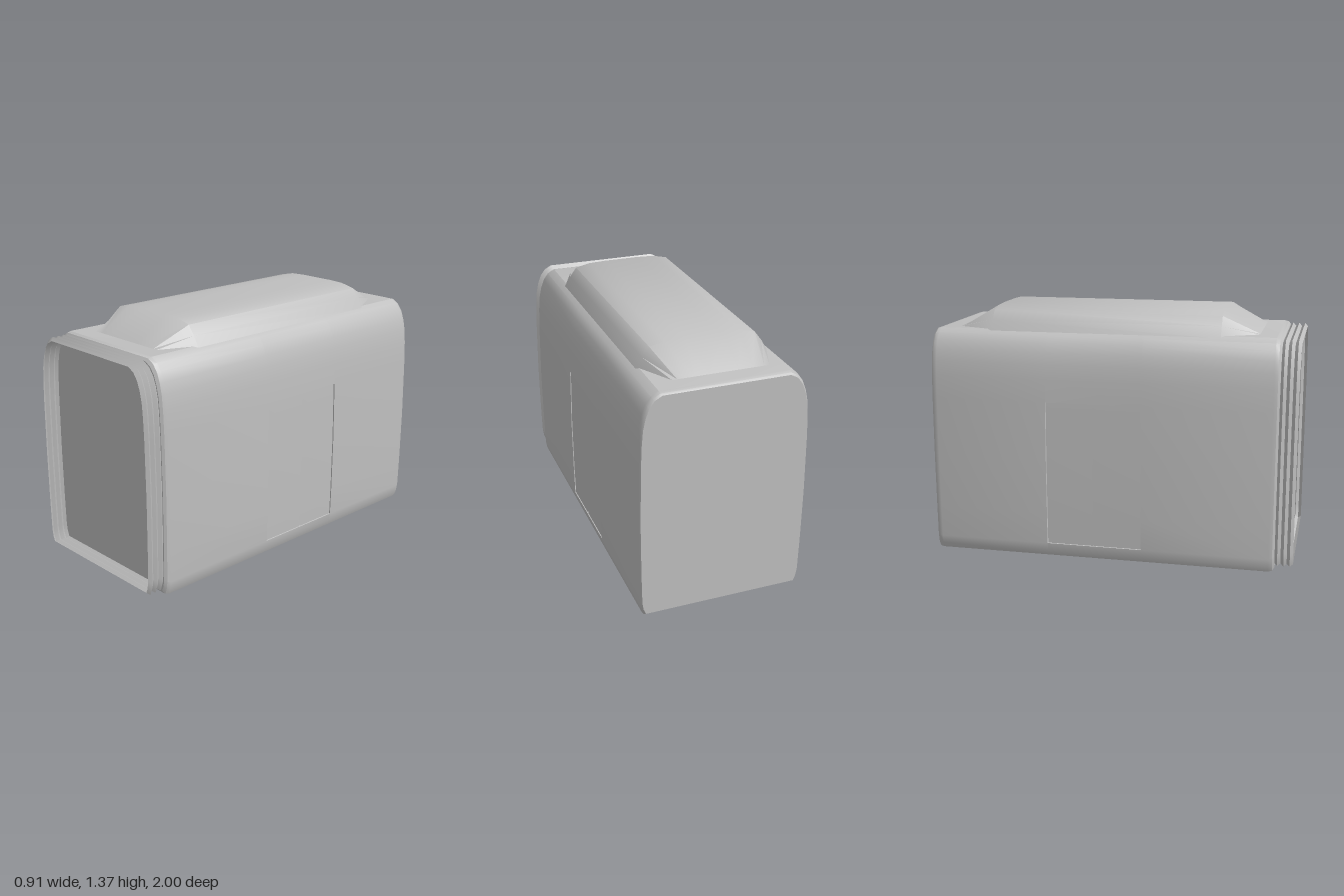
import * as THREE from 'three';
import { toCreasedNormals } from 'three/addons/utils/BufferGeometryUtils.js';

// Right half of the body cross-section, from the floor to the roof: [x, y]
const HALF = [
  [0.43, 0], [0.442, 0.03], [0.449, 0.074], [0.449, 0.076], [0.453, 0.25], [0.456, 0.55],
  [0.452, 0.873], [0.452, 0.875], [0.447, 1.0], [0.44, 1.08], [0.427, 1.14], [0.408, 1.19],
  [0.38, 1.228], [0.34, 1.25],
];
const HEIGHT = 1.25;
const DOOR = { bottom: 0.075, top: 0.874, front: 0.175, middle: -0.09, back: -0.35 };

const mirrorHalf = (half) => [...half, ...half.map(([x, y]) => [-x, y]).reverse()];

// Skins rings of [x, y] points placed at increasing z; closed rings may get end caps
function loft(sections, { closed = true, capStart = false, capEnd = false, crease = 0.5 } = {}) {
  const n = sections[0].ring.length;
  const pos = [], index = [];
  for (const { z, ring } of sections) for (const [x, y] of ring) pos.push(x, y, z);
  for (let i = 0; i < sections.length - 1; i++) {
    for (let j = 0; j < (closed ? n : n - 1); j++) {
      const a = i * n + j, b = i * n + (j + 1) % n;
      index.push(a, b, b + n, a, b + n, a + n);
    }
  }
  const cap = (s, flip) => {
    const c = pos.length / 3, base = s * n;
    pos.push(0, HEIGHT / 2, sections[s].z);
    for (let j = 0; j < n; j++) {
      const a = base + j, b = base + (j + 1) % n;
      index.push(c, ...(flip ? [b, a] : [a, b]));
    }
  };
  if (capStart) cap(0, true);
  if (capEnd) cap(sections.length - 1, false);
  const g = new THREE.BufferGeometry();
  g.setAttribute('position', new THREE.Float32BufferAttribute(pos, 3));
  g.setIndex(index);
  return toCreasedNormals(g, crease);
}

// Full cross-section fitted to a half width scale and a bottom and top height
const fitted = (sx, bottom, top) =>
  mirrorHalf(HALF).map(([x, y]) => [x * sx, bottom + (y / HEIGHT) * (top - bottom)]);

// Full cross-section with the doorways pushed in
const withDoorways = (depth) => mirrorHalf(HALF.map(([x, y]) =>
  [y > DOOR.bottom && y < DOOR.top ? x - depth : x, y]));

export function createModel() {
  const model = new THREE.Group();
  model.name = 'railCarSection';
  const grey = new THREE.MeshStandardMaterial({ color: 0xc0c0c0 });
  grey.name = 'grey';
  const greyOpen = grey.clone();
  greyOpen.side = THREE.DoubleSide;

  const add = (name, geometry, material = grey) => {
    const mesh = new THREE.Mesh(geometry, material);
    mesh.name = name;
    model.add(mesh);
    return mesh;
  };

  // Body shell with softened ends and a shallow doorway on each side
  const full = withDoorways(0), recessed = withDoorways(0.012);
  add('body', loft([
    { z: -1, ring: fitted(0.975, 0.01, 1.238) },
    { z: -0.99, ring: fitted(0.99, 0.003, 1.246) },
    { z: -0.97, ring: full },
    { z: DOOR.back - 0.001, ring: full },
    { z: DOOR.back, ring: recessed },
    { z: DOOR.front, ring: recessed },
    { z: DOOR.front + 0.001, ring: full },
    { z: 0.87, ring: full },
    { z: 0.89, ring: fitted(0.99, 0.005, 1.245) },
    { z: 0.902, ring: fitted(0.965, 0.02, 1.232) },
  ], { capStart: true, capEnd: true }));

  // Folding gangway bellows, open at the front
  const folds = [];
  for (let i = 0; i <= 6; i++) {
    const z = 0.9 + (i / 6) * 0.1;
    folds.push({ z, ring: i % 2 ? fitted(0.978, 0.032, 1.24) : fitted(0.95, 0.045, 1.222) });
  }
  add('bellows', loft(folds), greyOpen);

  // Two door leaves per side, following the curve of the wall
  const inset = 0.004, gap = 0.002;
  const leafPoints = HALF.filter(([, y]) => y > DOOR.bottom && y < DOOR.top)
    .map(([x, y]) => [x - inset, y]);
  const spans = [[DOOR.back + gap, DOOR.middle - gap], [DOOR.middle + gap, DOOR.front - gap]];
  for (const side of [1, -1]) {
    const ring = side > 0 ? leafPoints : leafPoints.map(([x, y]) => [-x, y]).reverse();
    spans.forEach(([z0, z1], i) => add(
      `${side > 0 ? 'left' : 'right'}Door${i ? 'Front' : 'Back'}Leaf`,
      loft([{ z: z0, ring }, { z: z1, ring }], { closed: false }), greyOpen));
  }

  // Roof fairing: a rounded hump that slopes down to the roof at both ends
  const hump = mirrorHalf([[0.355, 1.24], [0.32, 1.298], [0.282, 1.348], [0.2, 1.366], [0.1, 1.37]]);
  const flattened = (x0, x1) =>
    hump.map(([x]) => [x0 + ((x + 0.355) / 0.71) * (x1 - x0), 1.25]);
  add('roofFairing', loft([
    { z: -0.88, ring: flattened(-0.3, 0.24) },
    { z: -0.68, ring: hump },
    { z: 0.58, ring: hump },
    { z: 0.775, ring: flattened(-0.24, 0.29) },
  ], { closed: false, crease: 0.75 }), greyOpen);

  return model;
}
